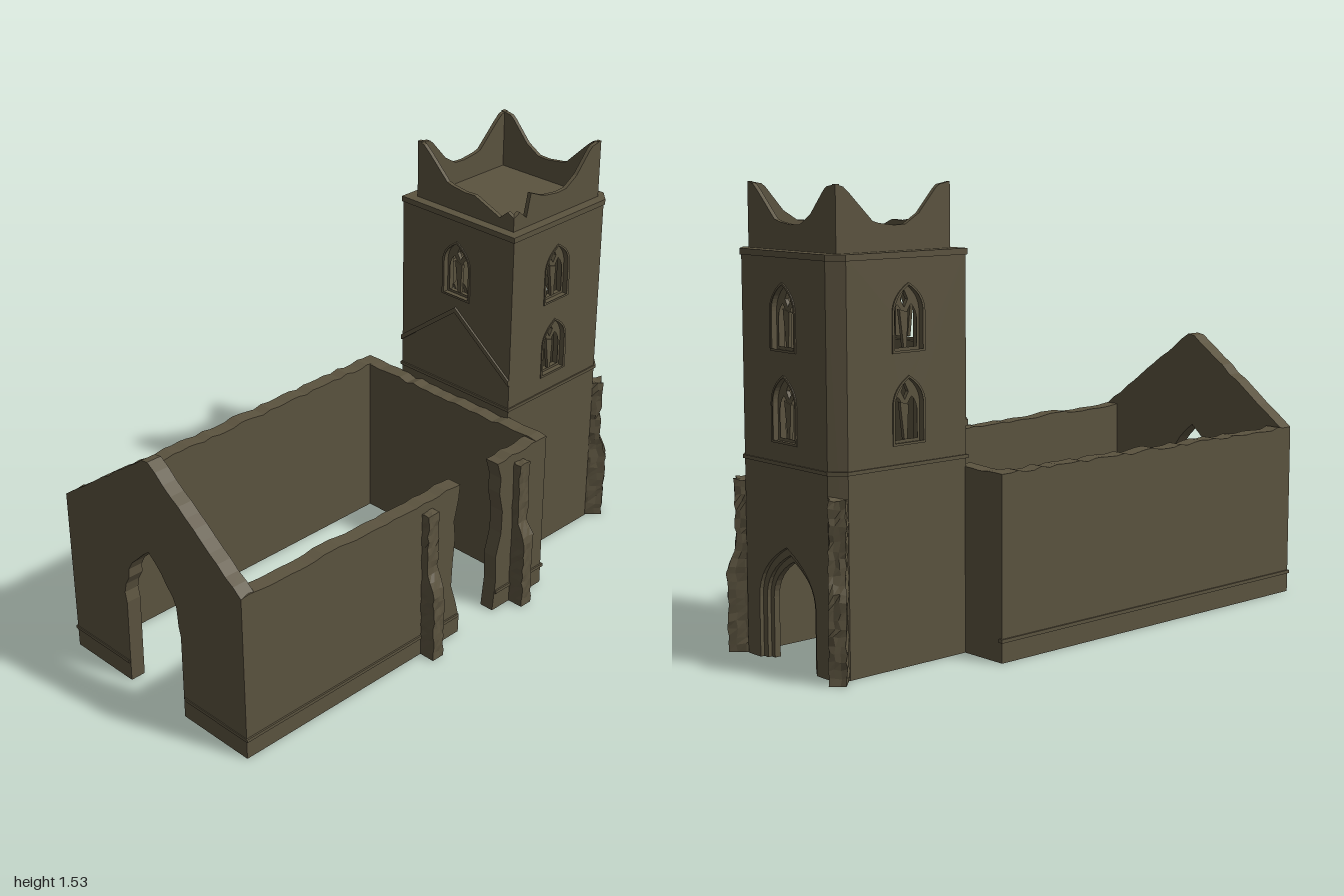
import * as THREE from 'three';

const stone = new THREE.MeshStandardMaterial({ color: 0x5b533f });
stone.name = 'weathered stone';

// repeatable noise in -1..1
const noise = (a, b = 0, c = 0) => {
  const s = Math.sin(a * 127.1 + b * 311.7 + c * 74.7) * 43758.5453;
  return 2 * (s - Math.floor(s)) - 1;
};

function add(parent, name, geometry) {
  const mesh = new THREE.Mesh(geometry, stone);
  mesh.name = name;
  parent.add(mesh);
  return mesh;
}

const shapeOf = pts => new THREE.Shape(pts.map(p => new THREE.Vector2(...p)));
const extrude = (shape, depth) => new THREE.ExtrudeGeometry(shape, { depth, bevelEnabled: false });

// pointed arch outline, left foot to right foot
function arch(cx, w, base, spring, peak, n = 8) {
  const left = [[cx - w, base]];
  for (let i = 0; i <= n; i++) {
    const t = i / n;
    left.push([cx - w * (1 - t * t), spring + (peak - spring) * (1.2 * t * (1 - t) + t * t)]);
  }
  const right = left.slice(0, -1).reverse().map(([x, y]) => [2 * cx - x, y]);
  return [...left, ...right];
}

// crumbling wall head between two points
function raggedLine(x0, y0, x1, y1, rough = 0.006) {
  const n = Math.max(2, Math.round(Math.abs(x1 - x0) / 0.035)), pts = [];
  for (let i = 0; i <= n; i++) {
    const t = i / n;
    pts.push([x0 + (x1 - x0) * t, y0 + (y1 - y0) * t + (i % n ? rough * noise(i, x0) : 0)]);
  }
  return pts;
}

// wall facing x: the shape is drawn in (-z, y) and grows towards +x
function sideWall(parent, name, pts, x, depth) {
  add(parent, name, extrude(shapeOf(pts), depth).rotateY(Math.PI / 2)).position.x = x;
}

// wall facing z: the shape is drawn in (x, y) and grows towards +z
function frontWall(parent, name, pts, z, depth) {
  add(parent, name, extrude(shapeOf(pts), depth)).position.z = z;
}

function strip(parent, name, x0, x1, y0, y1, z0, z1) {
  const m = add(parent, name, new THREE.BoxGeometry(x1 - x0, y1 - y0, z1 - z0));
  m.position.set((x0 + x1) / 2, (y0 + y1) / 2, (z0 + z1) / 2);
}

// rough stepped buttress, back at z = 0, growing towards +z
function buttress(parent, name, width, height, low, high, rough) {
  const g = new THREE.BoxGeometry(width, height, 1, 3, 22, 3).toNonIndexed();
  const p = g.attributes.position;
  for (let i = 0; i < p.count; i++) {
    const x = p.getX(i), y = p.getY(i) + height / 2, k = p.getZ(i) + 0.5;
    const t = THREE.MathUtils.smoothstep(y, 0.27, 0.35);
    const reach = low + (high - low) * t;
    const r = y < 0.001 ? 0 : rough;
    const q = [Math.round(x * 1000), Math.round(y * 1000), Math.round(k * 10)];
    p.setXYZ(i,
      x + r * noise(q[0], q[1], q[2]),
      y + r * noise(q[1], q[2], q[0]),
      -0.02 + k * (reach + 0.02) + (k > 0.1 ? r * noise(q[2], q[0], q[1]) : 0));
  }
  g.computeVertexNormals();
  return add(parent, name, g);
}

function buildNave() {
  const nave = new THREE.Group();
  nave.name = 'nave';
  const T = 0.055, H = 0.615;
  // long walls, the front one broken by a gap
  frontWall(nave, 'backWall', [[-1, 0], [0.43, 0], ...raggedLine(0.43, H, -1, H)], -0.47, T);
  frontWall(nave, 'frontWallLong', [[-1, 0], [-0.01, 0], [-0.008, 0.06], [-0.025, 0.13], [-0.05, 0.21],
    [-0.045, 0.3], [-0.035, 0.4], [-0.042, 0.47], [-0.022, 0.55], ...raggedLine(-0.015, 0.605, -1, H)], 0.41 - T, T);
  frontWall(nave, 'frontWallShort', [[0.17, 0], [0.43, 0], ...raggedLine(0.43, H, 0.175, 0.605), [0.195, 0.54],
    [0.19, 0.48], [0.208, 0.4], [0.205, 0.31], [0.18, 0.22], [0.185, 0.12]], 0.41 - T, T);
  sideWall(nave, 'eastWall', [[-0.41, 0], [0.47, 0], ...raggedLine(0.47, H, -0.41, H)], 0.43 - T, T);
  // gable end with a ruined arch down to the ground
  const opening = arch(0.04, 0.14, 0, 0.32, 0.58).map(([u, y], i) =>
    [u + (y > 0 && y < 0.5 ? 0.008 * noise(i, 3) : 0), y]);
  sideWall(nave, 'gableWall', [[-0.41, 0], ...opening, [0.47, 0],
    ...raggedLine(0.47, H, 0.045, 0.92, 0.004), ...raggedLine(0.015, 0.925, -0.41, H, 0.004)], -1, T);
  // plinth course
  const e = 0.006, y0 = 0.068, y1 = 0.08;
  strip(nave, 'plinthBack', -1, 0.43 + e, y0, y1, -0.47 - e, -0.46);
  strip(nave, 'plinthFront', -1, -0.014, y0, y1, 0.4, 0.41 + e);
  strip(nave, 'plinthFront', 0.182, 0.43 + e, y0, y1, 0.4, 0.41 + e);
  strip(nave, 'plinthGable', -1 - e / 2, -0.99, y0, y1, -0.47 - e, -0.185);
  strip(nave, 'plinthGable', -1 - e / 2, -0.99, y0, y1, 0.105, 0.41 + e);
  for (const [x, h] of [[-0.175, 0.57], [0.285, 0.575]])
    buttress(nave, 'naveButtress', 0.05, h, 0.06, 0.03, 0.003).position.set(x, 0, 0.41);
  return nave;
}

// traceried window on a tower face
function buildWindow(face, cx, base, z) {
  const outline = (w, lift = 0) => arch(cx, w, base + lift, base + 0.12, base + 0.21 - lift);
  const frame = shapeOf(outline(0.066, -0.004));
  frame.holes.push(shapeOf(outline(0.058, 0.004)));
  add(face, 'windowFrame', extrude(frame, 0.03)).position.z = z - 0.026;
  const tracery = shapeOf(outline(0.06));
  for (const s of [-1, 1])
    tracery.holes.push(shapeOf(arch(cx + s * 0.028, 0.022, base + 0.01, base + 0.09, base + 0.145, 5)));
  tracery.holes.push(shapeOf([[cx, base + 0.135], [cx + 0.015, base + 0.16], [cx, base + 0.19], [cx - 0.015, base + 0.16]]));
  add(face, 'windowTracery', extrude(tracery, 0.014)).position.z = z - 0.034;
  // broken remnant leaning on the mullion
  frontWall(face, 'windowShard', [[cx - 0.006, base + 0.01], [cx + 0.006, base + 0.01],
    [cx + 0.012, base + 0.12], [cx - 0.022, base + 0.13]], z - 0.028, 0.012);
}

function buildTower() {
  const tower = new THREE.Group();
  tower.name = 'tower';
  tower.position.set(0.6875, 0, -0.03);
  const R = 0.2625, T = 0.05, H = 1.315, C = 0.045;
  // plan with the two outer corners cut, drawn in (x, -z)
  const plan = r => [[-r, -r], [r - C, -r], [r, -r + C], [r, r - C], [r - C, r], [-r, r]];
  const course = (name, y, h, out, open) => {
    const s = shapeOf(plan(R + out));
    if (open) s.holes.push(shapeOf(plan(R - 0.03)));
    add(tower, name, extrude(s, h).rotateX(-Math.PI / 2)).position.y = y;
  };

  // four faces: quarter turns, left trim, right trim, window offset, window sills
  const sills = [0.72, 1.01];
  const faces = [
    ['southFace', 0, 0, C, -0.025, sills], ['eastFace', 1, C, C, 0, sills],
    ['northFace', 2, C, 0, 0.025, sills], ['westFace', -1, 0, 0, 0, [1.01]]];
  for (const [name, turn, l, r, cx, bases] of faces) {
    const face = new THREE.Group();
    face.name = name;
    face.rotation.y = turn * Math.PI / 2;
    tower.add(face);
    const door = turn === 1 ? arch(0, 0.15, 0, 0.2, 0.385) : [];
    const wall = shapeOf([[-R + l, 0], ...door, [R - r, 0], [R - r, H], [-R + l, H]]);
    for (const b of bases) {
      wall.holes.push(shapeOf(arch(cx, 0.06, b, b + 0.12, b + 0.21)));
      buildWindow(face, cx, b, R);
    }
    add(face, 'towerWall', extrude(wall, T)).position.z = R - T;
    if (turn === 1) // stepped door arch
      [[0.152, 0.128, 0.387, 0.358], [0.13, 0.11, 0.36, 0.335]].forEach(([a, b, p, q], i) =>
        frontWall(face, 'doorArch', [...arch(0, a, 0, 0.2, p), ...arch(0, b, 0, 0.2, q).reverse()],
          R - T, T - 0.014 * (i + 1)));
    if (turn === -1) // old roof line
      frontWall(face, 'roofScar', [[-R, 0.75], [0, 0.95], [R, 0.75], [R, 0.77], [0, 0.97], [-R, 0.77]], R - 0.01, 0.018);
  }

  // cut corners with diagonal buttresses
  for (const s of [1, -1]) {
    const pts = [[R - C, s * R], [R - T, s * (R - T)], [R, s * (R - C)]];
    add(tower, 'cutCorner', extrude(shapeOf(pts), H).rotateX(-Math.PI / 2));
    const b = buttress(tower, 'towerButtress', 0.055, 0.575, 0.066, 0.038, 0.005);
    b.position.set(R - C / 2, 0, s * (R - C / 2));
    b.rotation.y = s > 0 ? Math.PI / 4 : Math.PI * 3 / 4;
  }
  course('stringCourse', 0.645, 0.012, 0.005, true);
  course('roofSlab', 1.3, 0.02, 0.004, false);

  // scalloped parapet, broken at one corner
  const P = 0.2275, top = 1.53, base = 1.31;
  const sweep = [[-P, top], [-P + 0.03, 1.522], [-P + 0.055, 1.5], [-0.085, 1.415], [-0.06, 1.408], [0, 1.4],
    [0.045, 1.402], [0.1, 1.435], [P - 0.06, 1.51], [P - 0.045, 1.522], [P, top]];
  const stub = [[-P, 1.37], [-P + 0.03, 1.385], [-P + 0.065, 1.355]];
  const variants = [
    [...stub, [-P + 0.085, 1.44], ...sweep.slice(3)], sweep, sweep,
    [...sweep.slice(0, 7), ...stub.map(([x, y]) => [-x, y]).reverse()]];
  variants.forEach((edge, i) => {
    const m = add(tower, 'parapet', extrude(shapeOf([[-P, base], [P, base], ...[...edge].reverse()]), 0.015)
      .translate(0, 0, P - 0.015).rotateY(i * Math.PI / 2));
    m.position.set(-0.0025, 0, 0.0025);
  });
  return tower;
}

export function createModel() {
  const church = new THREE.Group();
  church.name = 'ruinedChurch';
  church.add(buildNave(), buildTower());
  return church;
}
